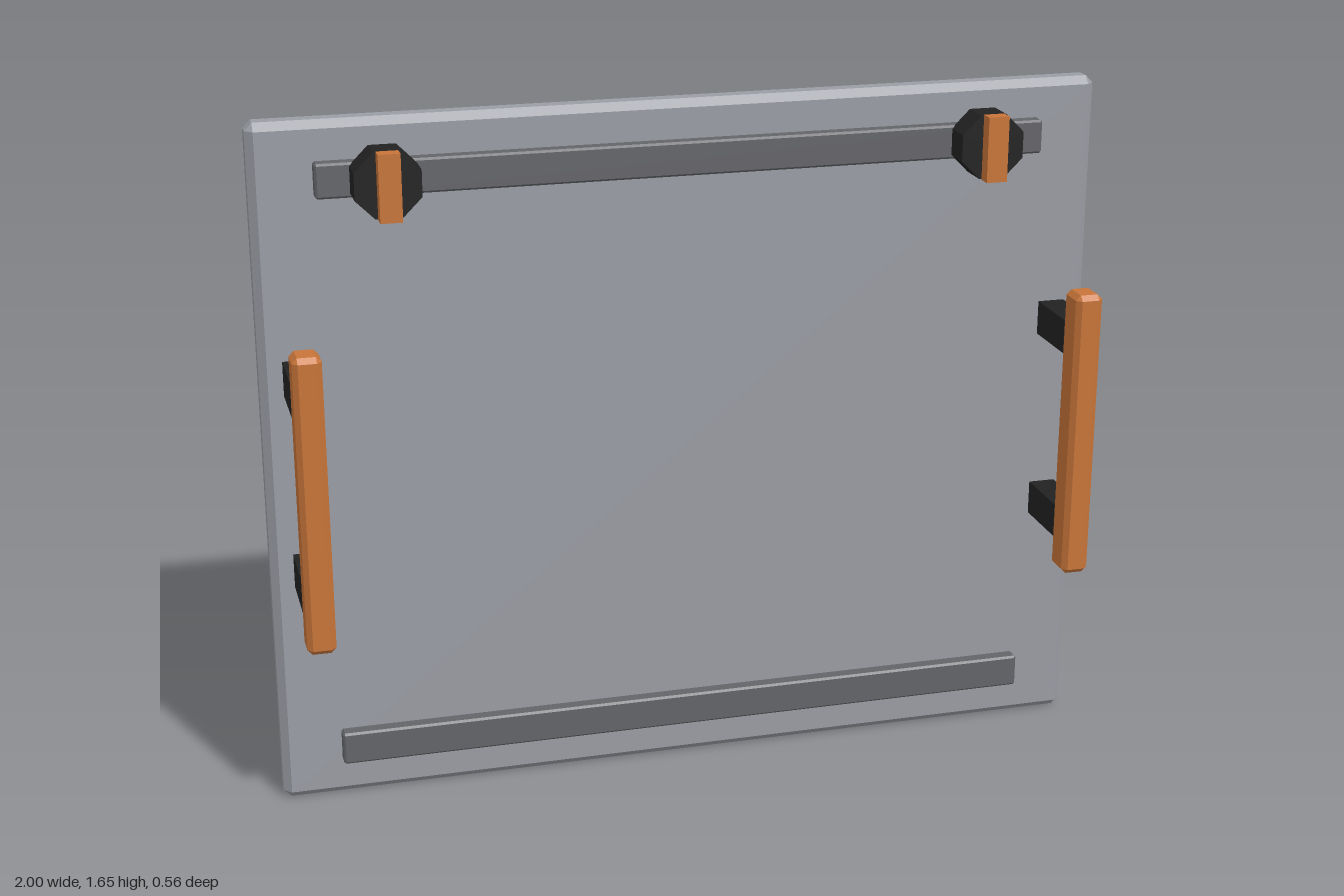
import * as THREE from 'three';
import { ConvexGeometry } from 'three/addons/geometries/ConvexGeometry.js';

const mat = (name, color) => {
  const m = new THREE.MeshStandardMaterial({ color });
  m.name = name;
  return m;
};

// Box with chamfered edges, centred on the origin
function chamferBox(w, h, d, c) {
  const pts = [];
  for (const x of [-w / 2, w / 2])
    for (const y of [-h / 2, h / 2])
      for (const z of [-d / 2, d / 2]) {
        const ix = x - Math.sign(x) * c, iy = y - Math.sign(y) * c, iz = z - Math.sign(z) * c;
        pts.push(new THREE.Vector3(x, iy, iz), new THREE.Vector3(ix, y, iz), new THREE.Vector3(ix, iy, z));
      }
  return new ConvexGeometry(pts);
}

export function createModel() {
  const model = new THREE.Group();
  model.name = 'accessPanel';

  const plateGrey = mat('plate grey', 0x9a9da4);
  const railGrey = mat('rail grey', 0x646569);
  const housingSlate = mat('housing slate', 0x3a4147);
  const orange = mat('grip orange', 0xc87539);
  const black = mat('rubber black', 0x222222);

  const add = (parent, name, geometry, material, x, y, z) => {
    const mesh = new THREE.Mesh(geometry, material);
    mesh.name = name;
    mesh.position.set(x, y, z);
    parent.add(mesh);
    return mesh;
  };

  // Front plate and the deep housing behind it
  add(model, 'frontPlate', chamferBox(2, 1.65, 0.07, 0.018), plateGrey, 0, 0.825, 0.012);
  add(model, 'rearHousing', chamferBox(1.83, 1.48, 0.256, 0.018), housingSlate, 0, 0.825, -0.152);

  // Horizontal rails
  const railGeo = chamferBox(1.714, 0.08, 0.04, 0.005);
  add(model, 'lowerRail', railGeo, railGrey, 0, 0.132, 0.06);
  add(model, 'upperRail', railGeo, railGrey, 0, 1.52, 0.06);

  const gripGeo = chamferBox(0.066, 0.705, 0.08, 0.012);
  const postGeo = new THREE.BoxGeometry(0.064, 0.082, 0.18);
  // Octagonal knob with flats at the top, bottom and sides
  const knobGeo = new THREE.CylinderGeometry(0.081, 0.081, 0.075, 8).toNonIndexed();
  knobGeo.rotateY(Math.PI / 8).rotateX(Math.PI / 2);
  knobGeo.computeVertexNormals();
  const pointerGeo = new THREE.BoxGeometry(0.05, 0.154, 0.034);

  for (const [side, s] of [['left', 1], ['right', -1]]) {
    // Carry handle on two posts
    const handle = new THREE.Group();
    handle.name = side + 'Handle';
    handle.position.x = s * 0.915;
    add(handle, 'grip', gripGeo, orange, 0, 0.828, 0.24);
    add(handle, 'lowerPost', postGeo, black, 0, 0.592, 0.117);
    add(handle, 'upperPost', postGeo, black, 0, 1.062, 0.117);
    model.add(handle);

    // Rotary latch with its pointer bar
    const latch = new THREE.Group();
    latch.name = side + 'Latch';
    latch.position.set(s * 0.705, 1.521, 0);
    add(latch, 'knob', knobGeo, black, 0, 0, 0.112);
    add(latch, 'pointer', pointerGeo, orange, 0, 0, 0.166);
    model.add(latch);
  }
  return model;
}
